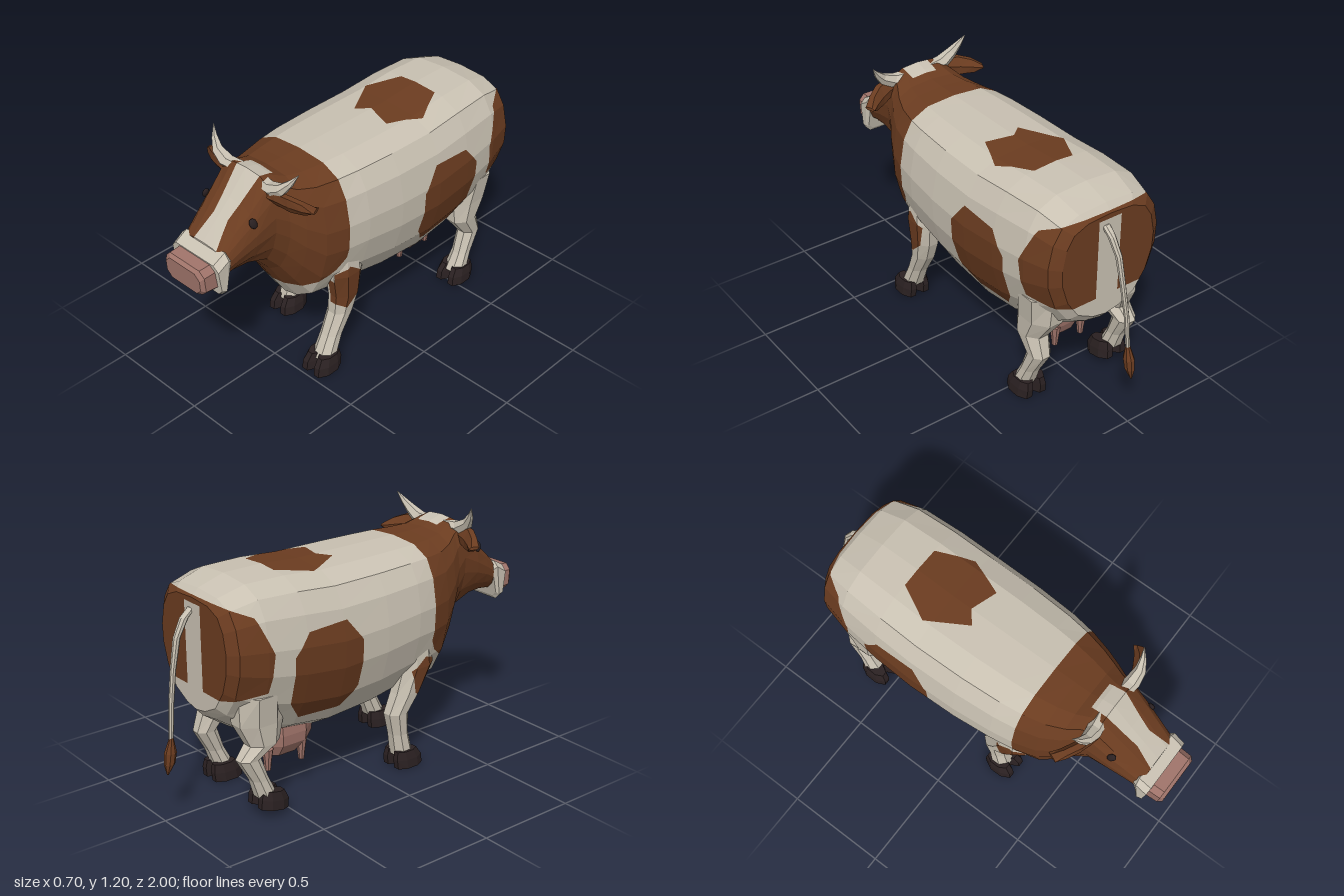
import * as THREE from 'three';

const V = (x, y, z) => new THREE.Vector3(x, y, z);

function material(name, color) {
  const m = new THREE.MeshStandardMaterial({ color });
  m.name = name;
  return m;
}

// Elliptical ring around c spanned by two half axes
function ellipse(c, u, v, n = 8) {
  return Array.from({ length: n }, (_, i) => {
    const a = ((i + 0.5) / n) * Math.PI * 2;
    return c.clone().addScaledVector(u, Math.cos(a)).addScaledVector(v, Math.sin(a));
  });
}
const flatRing = ([x, y, z, rx, rz]) => ellipse(V(x, y, z), V(rx, 0, 0), V(0, 0, rz));

// Triangles of a closed skin through rings of equal length, facing outward
function loft(rings) {
  const tris = [], n = rings[0].length;
  for (let r = 0; r + 1 < rings.length; r++) {
    for (let i = 0; i < n; i++) {
      const j = (i + 1) % n, a = rings[r], b = rings[r + 1];
      tris.push([a[i], a[j], b[j]], [a[i], b[j], b[i]]);
    }
  }
  [rings[0], rings[rings.length - 1]].forEach((ring, end) => {
    const c = ring.reduce((s, p) => s.add(p), V(0, 0, 0)).divideScalar(n);
    ring.forEach((p, i) => {
      const q = ring[(i + 1) % n];
      tris.push(end ? [c, p, q] : [c, q, p]);
    });
  });
  const volume = tris.reduce((s, [a, b, c]) => s + a.dot(b.clone().cross(c)), 0);
  return volume < 0 ? tris.map(([a, b, c]) => [a, c, b]) : tris;
}

// Convex outline in two axes as a list of planes; a point is inside where n.p < d
function outline(points, ax, ay, extra = []) {
  let area = 0;
  points.forEach((p, i) => {
    const q = points[(i + 1) % points.length];
    area += p[0] * q[1] - q[0] * p[1];
  });
  const s = Math.sign(area);
  return points.map((p, i) => {
    const q = points[(i + 1) % points.length], n = V(0, 0, 0);
    n[ax] = s * (q[1] - p[1]);
    n[ay] = -s * (q[0] - p[0]);
    return { n, d: n[ax] * p[0] + n[ay] * p[1] };
  }).concat(extra);
}

// Cut a polygon in two along a plane
function split(poly, { n, d }) {
  const inside = [], outside = [];
  poly.forEach((p, i) => {
    const q = poly[(i + 1) % poly.length];
    const a = n.dot(p) - d, b = n.dot(q) - d;
    (a <= 0 ? inside : outside).push(p);
    if ((a <= 0) !== (b <= 0)) {
      const m = p.clone().lerp(q, a / (a - b));
      inside.push(m);
      outside.push(m);
    }
  });
  return [inside, outside];
}

// Flat geometry, cut along coloured regions; earlier regions win
function paint(tris, regions = []) {
  const done = [[], []];
  let rest = tris;
  for (const { planes, mat } of regions) {
    const next = [];
    for (const tri of rest) {
      let poly = tri;
      for (const plane of planes) {
        const [inn, out] = split(poly, plane);
        if (out.length > 2) next.push(out);
        poly = inn;
        if (poly.length < 3) break;
      }
      if (poly.length > 2) done[mat].push(poly);
    }
    rest = next;
  }
  done[0].push(...rest);
  const pos = [], geo = new THREE.BufferGeometry();
  done.forEach((polys, mat) => {
    const start = pos.length / 3;
    for (const p of polys) {
      for (let i = 1; i + 1 < p.length; i++) {
        for (const v of [p[0], p[i], p[i + 1]]) pos.push(v.x, v.y, v.z);
      }
    }
    geo.addGroup(start, pos.length / 3 - start, mat);
  });
  geo.setAttribute('position', new THREE.Float32BufferAttribute(pos, 3));
  geo.computeVertexNormals();
  return geo;
}

export function createModel() {
  const white = material('cream hide', 0xc9c1b2), brown = material('brown hide', 0x6b3c20);
  const pink = material('pink skin', 0xa0746a), dark = material('dark hoof', 0x2b2122);
  const cow = new THREE.Group();
  cow.name = 'cow';
  const add = (name, geo, mat, parent = cow) => {
    const m = new THREE.Mesh(geo, mat);
    m.name = name;
    parent.add(m);
    return m;
  };
  const hide = [white, brown];

  // Brown patches and white markings, given as side (z, y), top (x, z) or front (x, y) outlines
  const side = (pts, extra) => outline(pts, 'z', 'y', extra);
  const front = [{ n: V(0, 0, -1), d: -0.54 }, { n: V(0, -1, 0), d: -0.8 }];
  const above = [{ n: V(0, -1, 0), d: -0.95 }];
  const legPatch = [1, -1].map((s) => ({
    mat: 1,
    planes: side([[0.35, 0.52], [0.28, 0.55], [0.2, 0.49], [0.22, 0.38], [0.29, 0.315], [0.345, 0.345]],
      [{ n: V(-s, 0, 0), d: -0.21 }]),
  }));
  const markings = [
    { mat: 0, planes: outline([[-0.07, 1.2], [0.1, 1.2], [0.055, 0.95], [-0.035, 0.95]], 'x', 'y', front) },
    { mat: 0, planes: outline([[-0.035, 0.95], [0.055, 0.95], [0.1, 0.8], [-0.07, 0.8]], 'x', 'y', front) },
    { mat: 0, planes: outline([[-0.06, 0.4], [0.06, 0.4], [0.06, 0.985], [-0.06, 0.985]], 'x', 'y', [{ n: V(0, 0, 1), d: -0.78 }]) },
    { mat: 1, planes: side([[0.31, 1.2], [0.31, 1.07], [0.13, 0.9], [0.35, 0.56], [0.51, 0.44], [1, 0.4], [1, 1.2]]) },
    { mat: 1, planes: side([[-0.235, 0.87], [-0.44, 0.86], [-0.52, 0.76], [-0.515, 0.53], [-0.44, 0.43], [-0.22, 0.43], [-0.15, 0.53], [-0.15, 0.76]]) },
    { mat: 1, planes: side([[-0.7, 0.99], [-0.62, 0.8], [-0.64, 0.62], [-0.9, 0.58], [-0.9, 1.06], [-0.81, 1.02]]) },
    { mat: 1, planes: outline([[0, -0.45], [-0.09, -0.45], [-0.17, -0.29], [-0.06, -0.1], [0, -0.15]], 'x', 'z', above) },
    { mat: 1, planes: outline([[0, -0.45], [0.12, -0.45], [0.2, -0.28], [0.13, -0.11], [0, -0.15]], 'x', 'z', above) },
    ...legPatch,
  ];

  // Body, neck and head as one skin: z, half width, top, bottom
  const half = [[0, 1], [0.48, 0.985], [0.77, 0.925], [0.92, 0.81], [1, 0.63], [0.985, 0.47], [0.86, 0.28], [0.62, 0.11], [0.28, 0.025], [0, 0]];
  const profile = half.concat(half.slice(1, -1).reverse().map(([x, y]) => [-x, y]));
  const stations = [
    [-0.815, 0.25, 1.01, 0.49], [-0.78, 0.3, 1.045, 0.45], [-0.65, 0.33, 1.085, 0.36], [-0.45, 0.345, 1.085, 0.3],
    [-0.25, 0.35, 1.07, 0.275], [0, 0.345, 1.07, 0.295], [0.2, 0.33, 1.07, 0.33], [0.32, 0.31, 1.07, 0.33],
    [0.42, 0.28, 1.07, 0.335], [0.5, 0.24, 1.075, 0.46], [0.56, 0.2, 1.1, 0.56], [0.62, 0.178, 1.115, 0.635],
    [0.72, 0.165, 1.01, 0.685], [0.8, 0.15, 0.935, 0.695], [0.88, 0.135, 0.86, 0.69],
  ];
  const skin = loft(stations.map(([z, w, top, bottom]) =>
    profile.map(([x, y]) => V(x * w, bottom + y * (top - bottom), z))));
  add('body', paint(skin, markings), hide);

  // Muzzle and nose: chamfered boxes, z at top and bottom, half width, top, bottom
  const boxRing = ([zt, zb, w, t, b]) => {
    const c = 0.028;
    return [[w - c, t], [w, t - c], [w, b + c], [w - c, b], [c - w, b], [-w, b + c], [-w, t - c], [c - w, t]]
      .map(([x, y]) => V(x, y, zb + (zt - zb) * (y - b) / (t - b)));
  };
  add('muzzle', paint(loft([[0.84, 0.88, 0.138, 0.845, 0.67], [0.865, 0.89, 0.15, 0.86, 0.655], [0.93, 0.91, 0.148, 0.825, 0.665]].map(boxRing))), white);
  add('nose', paint(loft([[0.9, 0.9, 0.125, 0.82, 0.68], [0.985, 0.975, 0.122, 0.815, 0.685], [1, 0.995, 0.108, 0.8, 0.695]].map(boxRing))), pink);

  // Horns, ears and eyes, with the head cocked slightly
  const headParts = new THREE.Group();
  headParts.name = 'headParts';
  headParts.position.y = 0.95;
  headParts.rotation.z = -0.05;
  cow.add(headParts);
  for (const s of [1, -1]) {
    const horn = [[0.08, 1.075, 0.6, 0.036], [0.145, 1.075, 0.61, 0.036], [0.2, 1.105, 0.61, 0.027], [0.235, 1.145, 0.595, 0.016], [0.262, 1.19, 0.575, 0.002]];
    add('horn', paint(loft(horn.map(([x, y, z, r]) => ellipse(V(s * x, y - 0.95, z), V(-s * r * 0.6, r * 0.8, 0), V(0, 0, r), 6)))), white, headParts);
    const ear = [[0.11, 1.045, 0.62, 0.018], [0.17, 1.045, 0.61, 0.042], [0.23, 1.035, 0.59, 0.048], [0.285, 1.025, 0.56, 0.036], [0.325, 1.02, 0.53, 0.008]];
    add('ear', paint(loft(ear.map(([x, y, z, r]) => ellipse(V(s * x, y - 0.95, z), V(0, r, 0.3 * r), V(s * 0.01, 0, 0.025), 6)))), brown, headParts);
    const eye = add('eye', new THREE.SphereGeometry(1, 8, 6), dark, headParts);
    eye.scale.set(0.011, 0.026, 0.019);
    eye.position.set(s * 0.15, 0.008, 0.725);
    eye.rotation.set(0.4, 0, s * 0.3);
  }

  // Legs: side, name, rings (x, y, z, rx, rz), hoof z and lift
  const foreRings = (zs) => [[0.215, 0.62, 0.07, 0.09], [0.225, 0.5, 0.07, 0.1], [0.222, 0.38, 0.066, 0.08], [0.218, 0.28, 0.058, 0.062], [0.216, 0.17, 0.052, 0.05], [0.217, 0.06, 0.058, 0.055]]
    .map(([x, y, rx, rz], i) => [x, y, zs[i], rx, rz]);
  const hindRings = (zs, lift) => [[0.19, 0.6, 0.12, 0.12], [0.2, 0.46, 0.09, 0.125], [0.215, 0.36, 0.068, 0.085], [0.22, 0.26, 0.052, 0.058], [0.225, 0.15, 0.047, 0.045], [0.225, 0.06, 0.056, 0.052]]
    .map(([x, y, rx, rz], i) => [x, y + (i > 2 ? lift : 0), zs[i], rx, rz]);
  const legs = [
    [1, 'frontLeg', foreRings([0.26, 0.26, 0.26, 0.28, 0.335, 0.385]), 0.4, 0],
    [-1, 'frontLeg', foreRings([0.26, 0.26, 0.21, 0.155, 0.17, 0.19]), 0.2, 0],
    [1, 'hindLeg', hindRings([-0.63, -0.61, -0.58, -0.635, -0.585, -0.545], 0), -0.55, 0],
    [-1, 'hindLeg', hindRings([-0.64, -0.63, -0.62, -0.7, -0.65, -0.615], 0.04), -0.6, 0.04],
  ];
  for (const [s, name, rings, hz, lift] of legs) {
    const tris = loft(rings.map(([x, ...r]) => flatRing([s * x, ...r])));
    add(name, paint(tris, name === 'frontLeg' ? legPatch : []), hide);
    // Cloven hoof of two toes
    const hoof = new THREE.Group();
    hoof.name = 'hoof';
    hoof.position.set(s * 0.218, lift, hz);
    hoof.rotation.x = lift * 5;
    cow.add(hoof);
    for (const t of [1, -1]) {
      add('toe', paint(loft([[t * 0.038, 0, 0.005, 0.041, 0.08], [t * 0.037, 0.045, 0, 0.039, 0.08], [t * 0.032, 0.085, -0.01, 0.034, 0.062]].map(flatRing))), dark, hoof);
    }
  }

  // Udder with four teats
  add('udder', paint(loft([[-0.02, 0.4, -0.39, 0.13, 0.17], [-0.02, 0.3, -0.39, 0.14, 0.17], [-0.02, 0.25, -0.39, 0.135, 0.165], [-0.02, 0.195, -0.41, 0.1, 0.12]].map(flatRing))), pink);
  for (const x of [-0.115, 0.035]) {
    for (const z of [-0.33, -0.52]) {
      add('teat', paint(loft([[x, 0.25, z, 0.028, 0.028], [x, 0.19, z, 0.019, 0.019], [x, 0.145, z, 0.014, 0.014]].map(flatRing))), pink);
    }
  }

  // Tail and tuft
  const tail = [[0.02, 0.96, -0.8, 0.02, 0.02], [0.018, 0.92, -0.845, 0.018, 0.022], [0.012, 0.84, -0.89, 0.015, 0.018], [0.005, 0.7, -0.92, 0.013, 0.014], [-0.005, 0.55, -0.943, 0.012, 0.013], [-0.012, 0.38, -0.957, 0.01, 0.011]];
  add('tail', paint(loft(tail.map(flatRing))), white);
  const tuft = [[-0.012, 0.4, -0.955, 0.009, 0.009], [-0.014, 0.33, -0.965, 0.024, 0.03], [-0.015, 0.28, -0.972, 0.021, 0.027], [-0.017, 0.23, -0.985, 0.004, 0.004]];
  add('tailTuft', paint(loft(tuft.map(flatRing))), brown);

  return cow;
}
